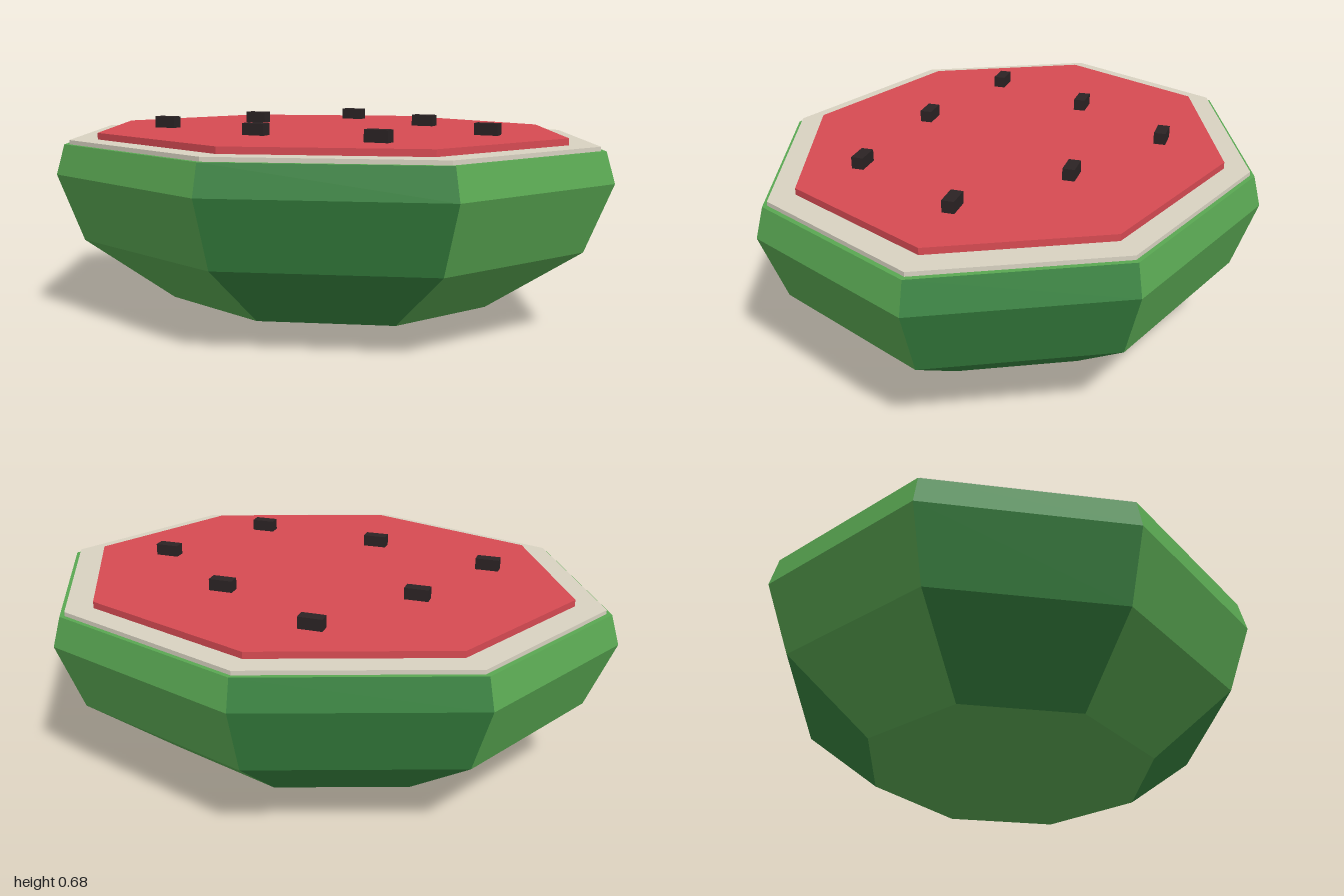
import * as THREE from 'three';

const DEPTH = 0.845; // the melon is an oval octagon: z is narrower than x

const mat = (name, color) => {
  const m = new THREE.MeshStandardMaterial({ color, flatShading: true });
  m.name = name;
  return m;
};

export function createModel() {
  const group = new THREE.Group();
  group.name = 'melonHalf';

  const lightGreen = mat('light green', 0x59a752);
  const darkGreen = mat('dark green', 0x37823f);
  const cream = mat('cream', 0xd8d2c1);
  const red = mat('red', 0xd64a52);
  const black = mat('seed black', 0x2b2324);

  const add = (name, geometry, material) => {
    const mesh = new THREE.Mesh(geometry, material);
    mesh.name = name;
    group.add(mesh);
    return mesh;
  };
  const lathe = (points, segments = 8, start = 0, sweep = Math.PI * 2) =>
    new THREE.LatheGeometry(points.map(p => new THREE.Vector2(...p)), segments, start, sweep)
      .scale(1, 1, DEPTH);

  // Rind: eight panels in alternating greens
  const rind = [[0.59, 0.06], [0.91, 0.275], [1, 0.5], [0.97, 0.6]];
  for (let i = 0; i < 8; i++) {
    add('rindPanel' + (i + 1), lathe(rind, 1, i * Math.PI / 4, Math.PI / 4),
      i % 2 ? lightGreen : darkGreen);
  }
  add('rindBase', lathe([[0, 0], [0.59, 0.06]]), lightGreen);
  add('rindRim', lathe([[0.97, 0.6], [0.8, 0.6]]), lightGreen);

  // Stacked slabs of pith and flesh
  const slab = (name, radius, bottom, top, material) =>
    add(name, new THREE.CylinderGeometry(radius, radius, top - bottom, 8)
      .scale(1, 1, DEPTH).translate(0, (bottom + top) / 2, 0), material);
  slab('pith', 0.952, 0.595, 0.614, cream);
  slab('flesh', 0.852, 0.61, 0.636, red);

  // Seeds
  const seeds = [[-0.13, -0.49], [0.255, -0.275], [-0.37, -0.15], [0.585, 0],
    [-0.53, 0.21], [-0.09, 0.34], [0.37, 0.39]];
  const seed = new THREE.BoxGeometry(0.08, 0.045, 0.04);
  seeds.forEach(([x, z], i) => add('seed' + (i + 1), seed, black).position.set(x, 0.6525, z));

  return group;
}
